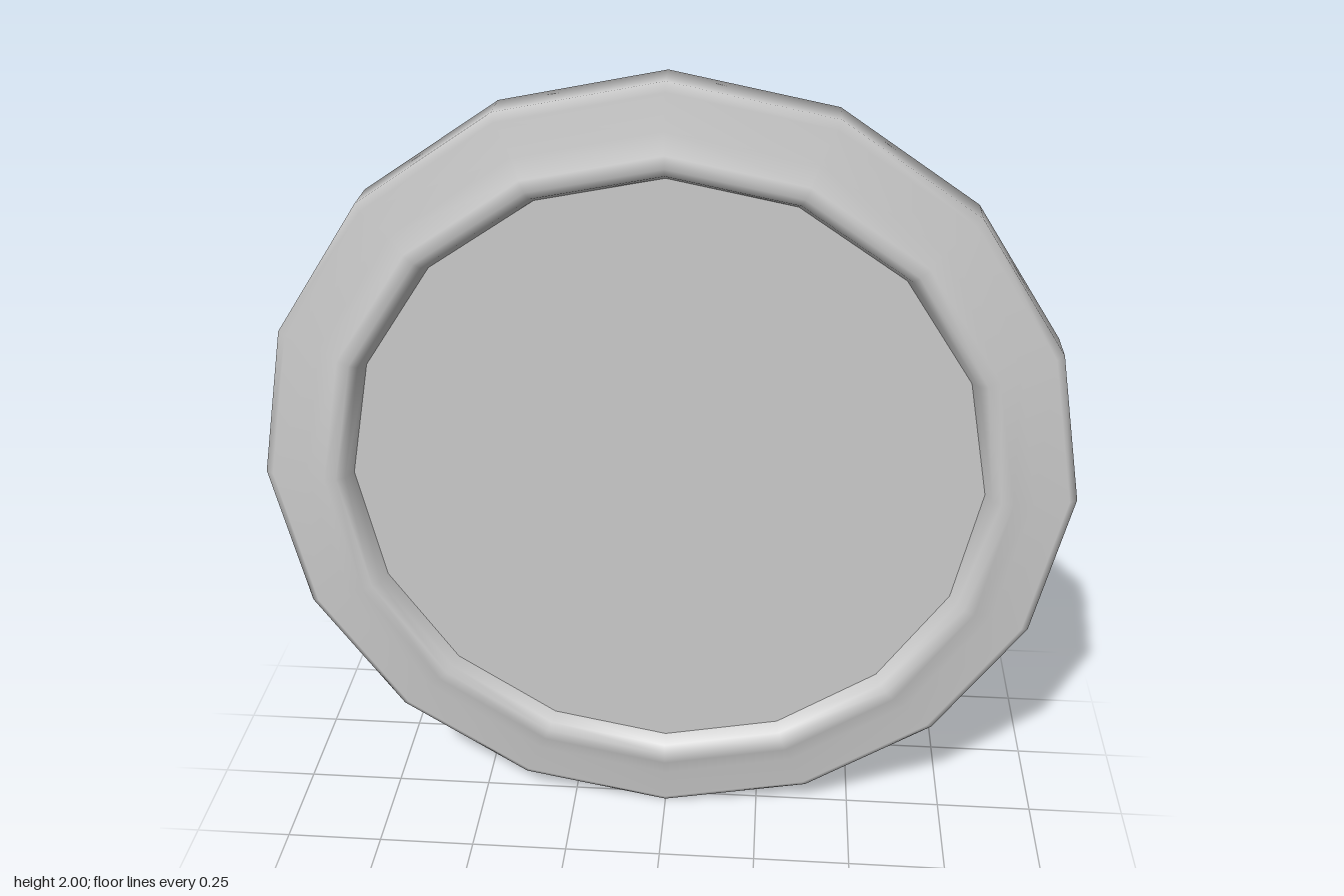
import * as THREE from 'three';
import { mergeGeometries } from 'three/addons/utils/BufferGeometryUtils.js';

const SIDES = 16, BACK = -0.065, INNER = 0.78, RECESS = 0.02;

export function createModel() {
  const group = new THREE.Group();
  const material = new THREE.MeshStandardMaterial({ color: 0xcccccc });

  // Rim: outer wall, rounded lip, flat band, raised ridge, wall down to the recess
  const profile = [
    [1, BACK], [1, 0.03], [0.98, 0.044], [0.895, 0.044], [0.845, 0.065],
    [0.815, 0.065], [0.795, 0.052], [INNER, RECESS],
  ].map(([r, z]) => new THREE.Vector2(r, z));
  const rim = new THREE.LatheGeometry(profile, SIDES).rotateX(Math.PI / 2);

  // Back: one flat polygon closing the rim
  const corners = [];
  for (let i = 0; i < SIDES; i++) {
    const a = (i / SIDES) * Math.PI * 2;
    corners.push(new THREE.Vector2(Math.cos(a), Math.sin(a)));
  }
  const back = new THREE.ShapeGeometry(new THREE.Shape(corners));
  back.rotateY(Math.PI).translate(0, 0, BACK);

  // Smooth shading runs over the edge between the outer wall and the back
  const body = mergeGeometries([rim, back]);
  const { position, normal } = body.attributes;
  const n = new THREE.Vector3();
  for (let i = 0; i < position.count; i++) {
    if (position.getZ(i) > BACK + 0.001) continue;
    n.set(position.getX(i), position.getY(i), -1).normalize();
    normal.setXYZ(i, n.x, n.y, n.z);
  }
  const bodyMesh = new THREE.Mesh(body, material);
  bodyMesh.name = 'rimAndBack';

  // Flat recessed face
  const face = new THREE.Mesh(new THREE.CircleGeometry(INNER, SIDES), material);
  face.position.z = RECESS;
  face.name = 'recessedFace';

  group.add(bodyMesh, face);
  group.position.y = 1;
  group.name = 'roundFramedPlate';
  return group;
}
